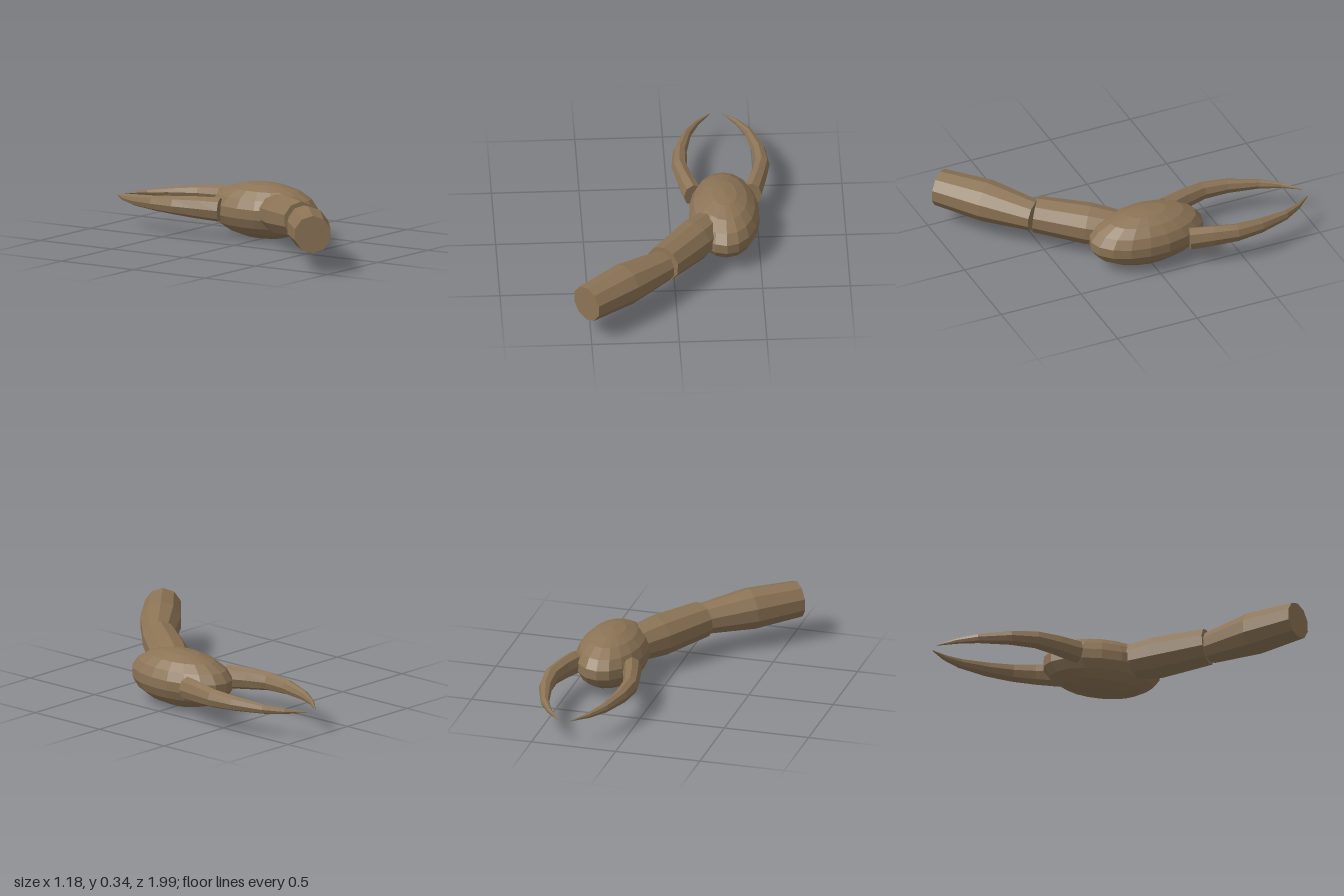
import * as THREE from 'three';

const shell = new THREE.MeshStandardMaterial({ color: 0x8b7355, flatShading: true });
shell.name = 'brown shell';

// Closed faceted limb through stations [x, y, z, half width, half height]
function loft(stations, sides) {
  const centres = stations.map(s => new THREE.Vector3(s[0], s[1], s[2]));
  const up = new THREE.Vector3(0, 1, 0);
  const last = stations.length - 1;
  const pos = [], index = [];
  stations.forEach((s, i) => {
    const t = centres[Math.min(i + 1, last)].clone().sub(centres[Math.max(i - 1, 0)]).normalize();
    const across = new THREE.Vector3().crossVectors(up, t).normalize();
    const above = new THREE.Vector3().crossVectors(t, across);
    for (let j = 0; j < sides; j++) {
      const a = Math.PI / 2 + j * 2 * Math.PI / sides;
      const p = centres[i].clone()
        .addScaledVector(across, Math.cos(a) * s[3])
        .addScaledVector(above, Math.sin(a) * s[4]);
      pos.push(p.x, p.y, p.z);
    }
  });
  // end cap centres
  const startCap = pos.length / 3, endCap = startCap + 1;
  for (const c of [centres[0], centres[last]]) pos.push(c.x, c.y, c.z);
  for (let j = 0; j < sides; j++) {
    const k = (j + 1) % sides;
    for (let i = 0; i < last; i++) {
      const a = i * sides + j, b = i * sides + k;
      index.push(a, b, b + sides, a, b + sides, a + sides);
    }
    index.push(startCap, k, j, endCap, last * sides + j, last * sides + k);
  }
  const geo = new THREE.BufferGeometry();
  geo.setAttribute('position', new THREE.Float32BufferAttribute(pos, 3));
  geo.setIndex(index);
  const flat = geo.toNonIndexed();
  flat.computeVertexNormals();
  return flat;
}

export function createModel() {
  const model = new THREE.Group();
  model.name = 'pincerArm';
  const add = (name, geo) => {
    const mesh = new THREE.Mesh(geo, shell);
    mesh.name = name;
    model.add(mesh);
  };
  const palmX = 0.305;

  // Upper and lower arm segments
  add('upperArm', loft([
    [-0.525, 0.226, 0.915, 0.107, 0.107],
    [-0.298, 0.217, 0.722, 0.122, 0.122],
    [-0.065, 0.202, 0.53, 0.09, 0.09],
  ], 10));
  add('forearm', loft([
    [-0.07, 0.207, 0.518, 0.106, 0.106],
    [0.115, 0.185, 0.27, 0.12, 0.12],
    [0.205, 0.176, 0.145, 0.104, 0.104],
  ], 10));

  // Egg-shaped palm
  const palm = new THREE.SphereGeometry(1, 18, 9);
  palm.rotateY(Math.PI / 2);
  palm.scale(0.203, 0.1625, 0.35);
  palm.translate(palmX, 0.1625, 0);
  add('palm', palm);

  // Pair of curved, tapering pincers: [offset from palm axis, y, z, half width, half height]
  const path = [
    [0.168, 0.168, -0.195, 0.056, 0.07],
    [0.207, 0.174, -0.33, 0.049, 0.064],
    [0.235, 0.177, -0.46, 0.046, 0.054],
    [0.224, 0.174, -0.61, 0.039, 0.044],
    [0.176, 0.166, -0.79, 0.025, 0.029],
    [0.117, 0.161, -0.9, 0.014, 0.017],
    [0.036, 0.156, -0.998, 0.002, 0.002],
  ];
  for (const [name, side] of [['leftPincer', 1], ['rightPincer', -1]]) {
    add(name, loft(path.map(([d, ...rest]) => [palmX + side * d, ...rest]), 8));
  }
  return model;
}
